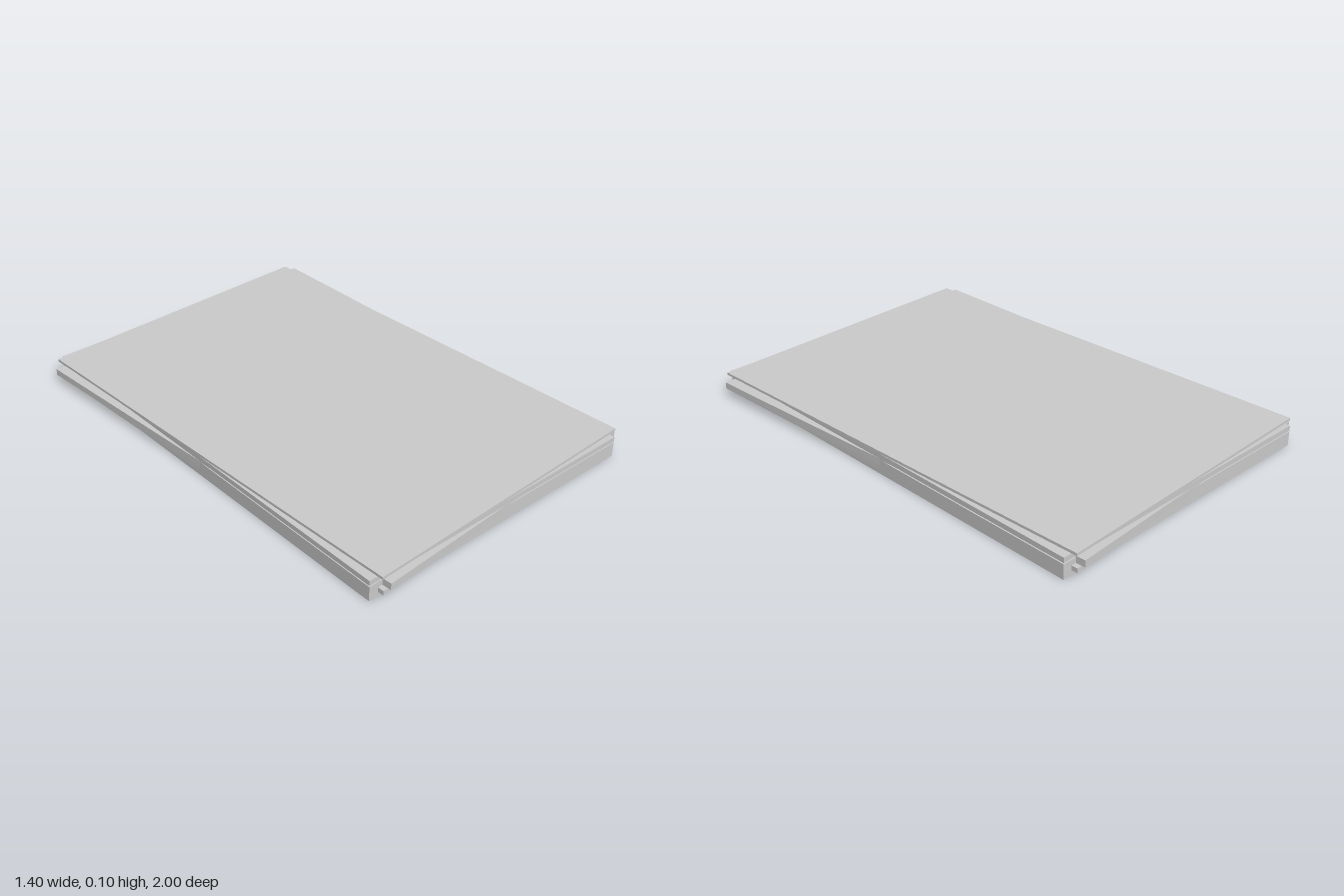
import * as THREE from 'three';

// A stack of flat rectangular slabs, some twisted slightly about the vertical axis.
export function createModel() {
  const group = new THREE.Group();
  group.name = 'slabStack';
  const material = new THREE.MeshStandardMaterial({ color: 0xcccccc, flatShading: true });
  const width = 1.28, depth = 1.922;

  // name, bottom, top, twist in radians
  const slabs = [
    ['baseSlab', 0, 0.061, 0],
    ['lowerSheet', 0.019, 0.038, 0.041],
    ['middleSheet', 0.038, 0.066, 0.0635],
    ['upperSlab', 0.066, 0.087, 0],
    ['topSheet', 0.087, 0.098, 0.038],
  ];
  for (const [name, bottom, top, twist] of slabs) {
    const slab = new THREE.Mesh(new THREE.BoxGeometry(width, top - bottom, depth), material);
    slab.name = name;
    slab.position.y = (bottom + top) / 2;
    slab.rotation.y = twist;
    group.add(slab);
  }
  return group;
}
